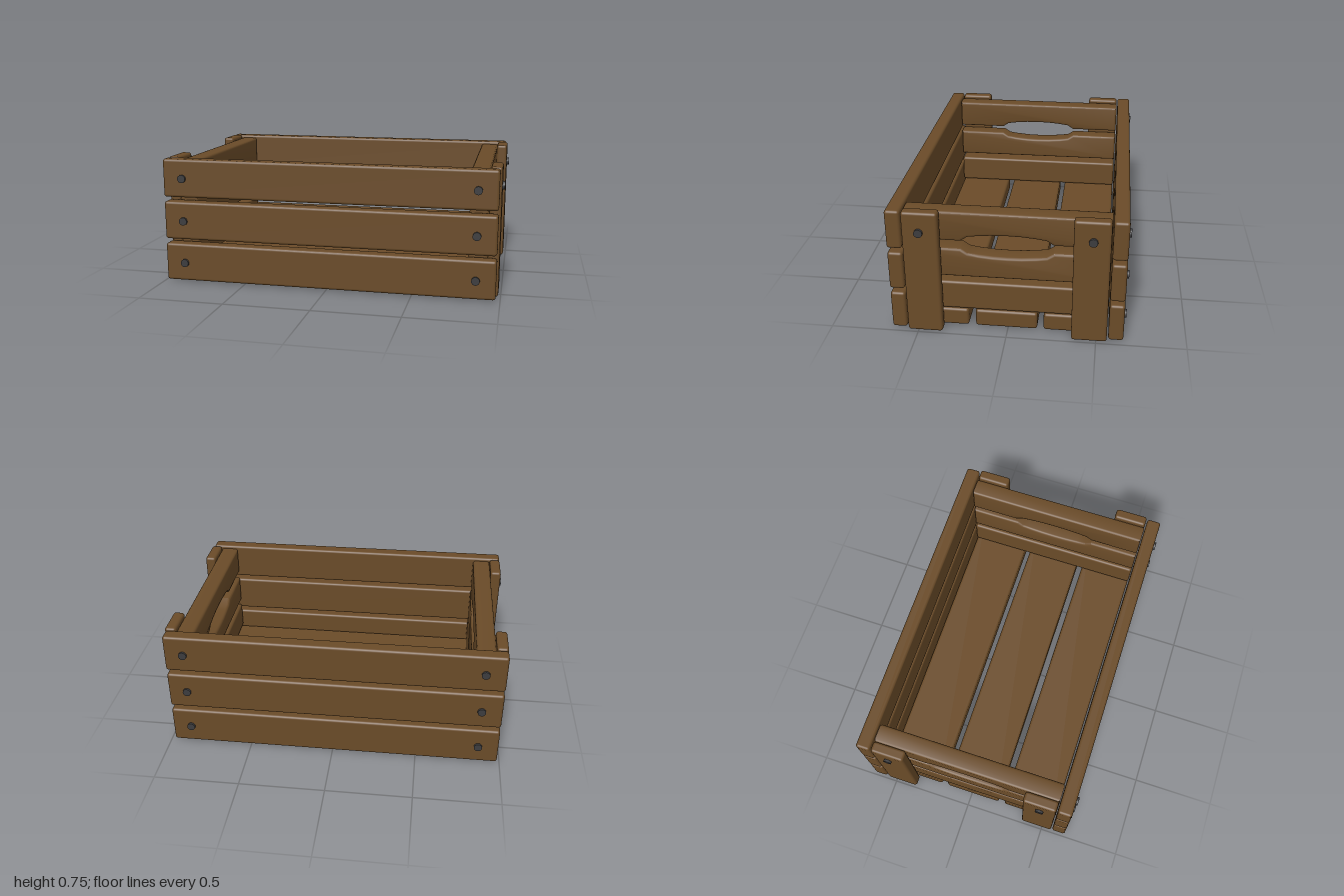
import * as THREE from 'three';
import { RoundedBoxGeometry } from 'three/addons/geometries/RoundedBoxGeometry.js';
import { toCreasedNormals } from 'three/addons/utils/BufferGeometryUtils.js';

const wood = new THREE.MeshStandardMaterial({ color: 0x6a4b28 });
const iron = new THREE.MeshStandardMaterial({ color: 0x3c3c3e });
const BEVEL = 0.016;

export function createModel() {
  const crate = new THREE.Group();
  crate.name = 'crate';

  const add = (name, geometry, material) => {
    const mesh = new THREE.Mesh(geometry, material);
    mesh.name = name;
    crate.add(mesh);
    return mesh;
  };

  // Soft-edged plank given by its extents on each axis
  const plank = (name, [x0, x1], [y0, y1], [z0, z1]) =>
    add(name, new RoundedBoxGeometry(x1 - x0, y1 - y0, z1 - z0, 3, BEVEL), wood)
      .position.set((x0 + x1) / 2, (y0 + y1) / 2, (z0 + z1) / 2);

  // Screw head whose axis points along x or z
  const screw = (name, x, y, z, alongX) => {
    const head = add(name, new THREE.CylinderGeometry(0.024, 0.024, 0.03, 16), iron);
    head.position.set(x, y, z);
    if (alongX) head.rotation.z = Math.PI / 2;
    else head.rotation.x = Math.PI / 2;
  };

  // End plank with a hand-hold scooped out of one edge (edgeY towards farY)
  const gripPlank = (name, x, edgeY, farY) => {
    const dir = Math.sign(farY - edgeY);
    const half = [[0.26, 0], [0.222, 0.025], [0.16, 0.034], [0.08, 0.041]];
    const scoop = [...half, [0, 0.043], ...half.map(([z, d]) => [-z, d]).reverse()];
    const end = 0.563 - BEVEL, edge = edgeY + dir * BEVEL, far = farY - dir * BEVEL;
    const points = [[end, far], [end, edge],
      ...scoop.map(([z, d]) => [z, edge + dir * d]), [-end, edge], [-end, far]];
    const shape = new THREE.Shape(points.map(([z, y]) => new THREE.Vector2(z, y)));
    const depth = 0.11 - 2 * BEVEL;
    const geometry = new THREE.ExtrudeGeometry(shape, {
      depth, bevelEnabled: true, bevelSize: BEVEL, bevelThickness: BEVEL, bevelSegments: 3,
    });
    geometry.translate(0, 0, -depth / 2).rotateY(Math.PI / 2);
    add(name, toCreasedNormals(geometry, 0.6), wood).position.x = x;
  };

  // Three floor planks
  for (const z of [[-0.56, -0.203], [-0.167, 0.183], [0.222, 0.56]])
    plank('floorPlank', [-0.92, 0.92], [0.01, 0.115], z);

  // Long front and back planks with their screws
  for (const s of [1, -1]) {
    const side = s > 0 ? 'front' : 'back';
    const z = s > 0 ? [0.568, 0.652] : [-0.652, -0.568];
    [[0.008, 0.235], [0.262, 0.49], [0.517, 0.745]].forEach((y, i) => {
      plank(side + 'Plank', [-0.985, 0.975], y, z);
      for (const x of [-0.865, 0.862]) screw(side + 'Screw', x, 0.118 + i * 0.256, s * 0.65, false);
    });
  }

  // Ends: a plain plank, two planks forming the hand-hold, and corner posts
  for (const s of [1, -1]) {
    const side = s > 0 ? 'left' : 'right';
    const span = (a, b) => (s > 0 ? [a, b] : [-b, -a]);
    plank(side + 'EndPlank', span(0.81, 0.92), [0.12, 0.295], [-0.563, 0.563]);
    gripPlank(side + 'GripLower', s * 0.865, 0.505, 0.33);
    gripPlank(side + 'GripUpper', s * 0.865, 0.553, 0.727);
    for (const t of [1, -1]) {
      plank(side + 'Post', span(0.92, 0.986), [0, 0.747], t > 0 ? [0.362, 0.56] : [-0.56, -0.362]);
      screw(side + 'PostScrew', s * 0.985, 0.63, t * 0.466, true);
    }
  }
  return crate;
}
